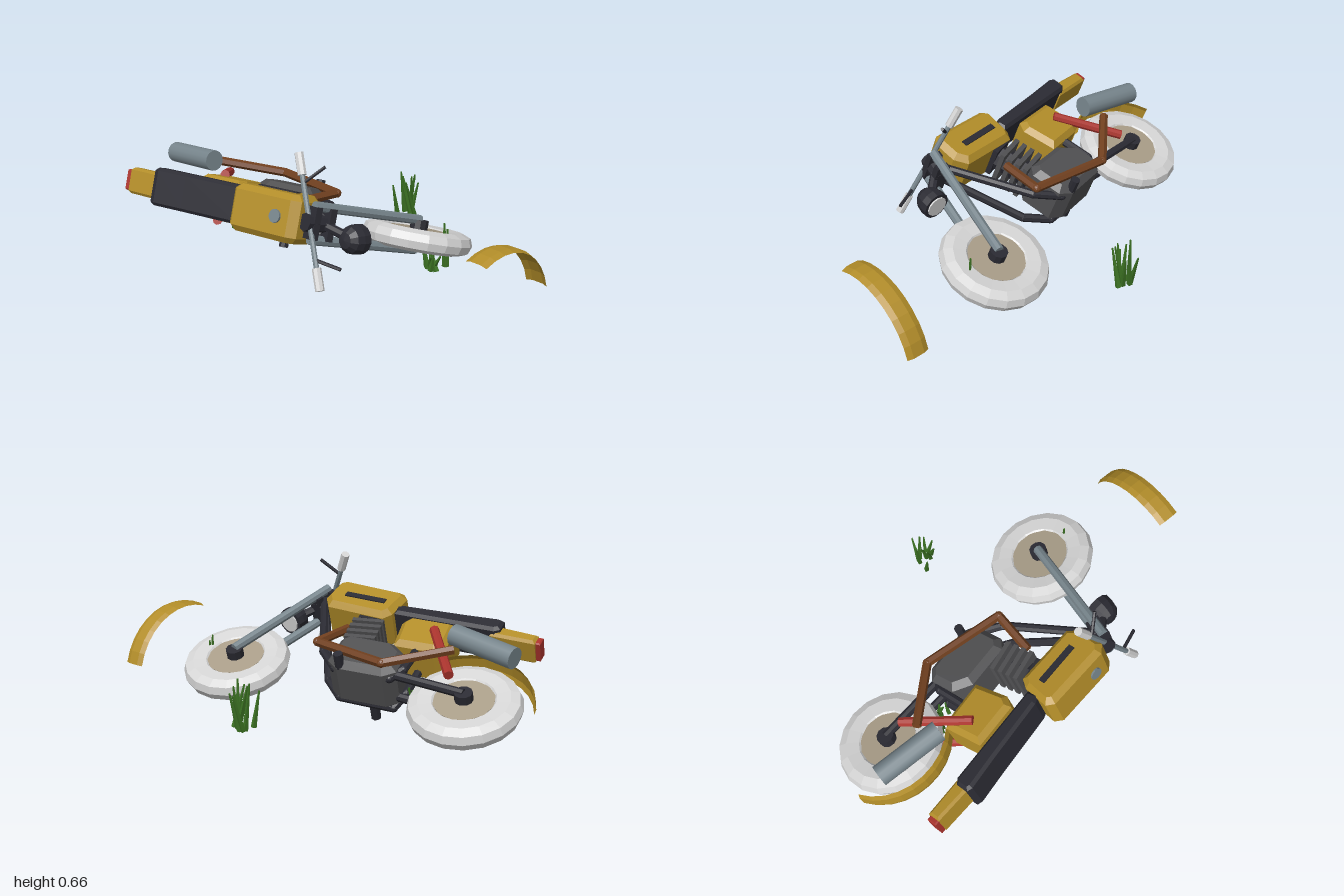
import * as THREE from 'three';

const mat = (name, color) => Object.assign(new THREE.MeshStandardMaterial({ color }), { name });
const V = (p) => new THREE.Vector3(...p);

export function createModel() {
  const yellow = mat('mustard paint', 0xb28d29), black = mat('black', 0x2b2b33), grey = mat('engine grey', 0x505052);
  const white = mat('pale tyre', 0xd4d4d4), tan = mat('wheel tan', 0xa99d88), steel = mat('steel', 0x77858c);
  const rust = mat('rust', 0x71401f), red = mat('red', 0xaa342d), green = mat('grass green', 0x3c7223);
  yellow.side = THREE.DoubleSide;

  const root = new THREE.Group();
  root.name = 'fallenMotorbike';

  // Bike frame: X forward, Y bike-up, Z bike-right, origin near the rear axle
  const f = V([0.946, 0.02, 0.324]).normalize();
  const s = new THREE.Vector3().crossVectors(f, V([-0.31, 0.34, 0.89])).normalize();
  const u = new THREE.Vector3().crossVectors(s, f);
  const bike = new THREE.Group();
  bike.name = 'bike';
  bike.quaternion.setFromRotationMatrix(new THREE.Matrix4().makeBasis(f, u, s));
  bike.position.set(-0.676, 0.16, -0.37);
  root.add(bike);

  const flat = (g) => {
    const r = g.index ? g.toNonIndexed() : g;
    r.computeVertexNormals();
    return r;
  };
  const add = (name, geo, material, parent = bike) => {
    const m = new THREE.Mesh(geo, material);
    m.name = name;
    parent.add(m);
    return m;
  };
  // Straight tube between two points
  const rod = (name, a, b, r, material, { parent = bike, sides = 8, r2 = r, smooth = false } = {}) => {
    const d = V(b).sub(V(a));
    const g = new THREE.CylinderGeometry(r2, r, d.length(), sides);
    const m = add(name, smooth ? g : flat(g), material, parent);
    m.position.copy(V(a)).addScaledVector(d, 0.5);
    m.quaternion.setFromUnitVectors(new THREE.Vector3(0, 1, 0), d.normalize());
    return m;
  };
  const path = (name, pts, r, material, sides = 8) => {
    for (let i = 1; i < pts.length; i++) rod(name, pts[i - 1], pts[i], r, material, { sides });
    pts.slice(1, -1).forEach((p) => add(name + 'Joint', flat(new THREE.IcosahedronGeometry(r * 1.02, 1)), material).position.set(...p));
  };
  // Side outline extruded across the bike with chamfered edges
  const slab = (name, pts, half, bevel, material) => {
    const g = new THREE.ExtrudeGeometry(new THREE.Shape(pts.map((p) => new THREE.Vector2(...p))), {
      depth: 2 * (half - bevel), bevelThickness: bevel, bevelSize: bevel, bevelOffset: -bevel, bevelSegments: 1,
    });
    return add(name, flat(g.translate(0, 0, bevel - half)), material);
  };
  // Crowned mudguard strip following an arc
  const fender = (name, a0, a1, R, half, parent) => {
    const cross = [[-half, -0.01], [-half * 0.5, 0], [half * 0.5, 0], [half, -0.01]];
    const pos = [], idx = [], n = 9;
    for (let i = 0; i <= n; i++) {
      const a = THREE.MathUtils.degToRad(a0 + ((a1 - a0) * i) / n);
      cross.forEach(([z, dr]) => pos.push(Math.cos(a) * (R + dr), Math.sin(a) * (R + dr), z));
    }
    for (let i = 0; i < n; i++) for (let j = 0; j < 3; j++) {
      const k = i * 4 + j;
      idx.push(k, k + 1, k + 4, k + 1, k + 5, k + 4);
    }
    const g = new THREE.BufferGeometry();
    g.setAttribute('position', new THREE.Float32BufferAttribute(pos, 3));
    g.setIndex(idx);
    return add(name, flat(g), yellow, parent);
  };

  // Wheels
  const profile = [[0.126, -0.03], [0.14, -0.044], [0.2, -0.05], [0.24, -0.034], [0.252, 0],
    [0.24, 0.034], [0.2, 0.05], [0.14, 0.044], [0.126, 0.03]].map((p) => new THREE.Vector2(...p));
  [['rear', 0.01, 0.028], ['front', 1.146, 0.018]].forEach(([n, x, y]) => {
    const z = 0.011;
    add(n + 'Tyre', flat(new THREE.LatheGeometry(profile, 18).rotateX(Math.PI / 2)), white).position.set(x, y, z);
    rod(n + 'Disc', [x, y, z - 0.038], [x, y, z + 0.038], 0.135, tan, { sides: 12 });
    rod(n + 'Hub', [x, y, -0.068], [x, y, 0.072], 0.041, black, { sides: 10 });
  });
  fender('rearFender', 50, 162, 0.3, 0.05, bike).position.set(0.008, 0.02, 0);

  // Tank, seat, tail and side panel
  slab('tank', [[0.535, 0.45], [0.565, 0.408], [0.86, 0.428], [0.9, 0.49], [0.89, 0.61], [0.85, 0.638], [0.545, 0.614], [0.515, 0.58]], 0.105, 0.026, yellow);
  rod('fuelCap', [0.785, 0.615, 0], [0.782, 0.642, 0], 0.03, steel, { sides: 12 });
  for (const z of [-1, 1]) {
    const strip = add('tankStrip', new THREE.BoxGeometry(0.21, 0.03, 0.009), black);
    strip.position.set(0.697, 0.51, z * 0.106);
    strip.rotation.z = 0.04;
  }
  slab('seat', [[0.015, 0.48], [0.04, 0.462], [0.53, 0.465], [0.54, 0.52], [0.5, 0.533], [0.2, 0.542], [0.04, 0.55], [0.015, 0.54]], 0.088, 0.014, black);
  slab('tail', [[-0.155, 0.449], [0.06, 0.455], [0.06, 0.528], [-0.155, 0.51]], 0.062, 0.012, yellow);
  slab('tailLight', [[-0.177, 0.458], [-0.145, 0.458], [-0.145, 0.508], [-0.177, 0.508]], 0.05, 0.006, red);
  slab('sidePanel', [[0.19, 0.26], [0.24, 0.24], [0.43, 0.235], [0.46, 0.4], [0.43, 0.45], [0.21, 0.45]], 0.1, 0.025, yellow);

  // Engine with finned cylinder
  slab('crankcase', [[0.33, 0.05], [0.38, 0.005], [0.6, 0], [0.66, 0.04], [0.67, 0.19], [0.63, 0.23], [0.42, 0.23], [0.34, 0.17]], 0.115, 0.03, grey);
  const barrel = new THREE.Group();
  barrel.name = 'cylinderBarrel';
  barrel.position.set(0.595, 0.2, 0);
  barrel.rotation.z = -0.14;
  bike.add(barrel);
  rod('cylinderCore', [0, 0, 0], [0, 0.24, 0], 0.06, black, { parent: barrel });
  for (let i = 0; i < 4; i++) add('coolingFin', new THREE.BoxGeometry(0.15, 0.022, 0.18), grey, barrel).position.y = 0.045 + i * 0.042;
  add('cylinderHead', new THREE.BoxGeometry(0.12, 0.045, 0.15), black, barrel).position.y = 0.225;
  rod('rightFootPeg', [0.46, 0.045, 0.08], [0.46, 0.045, 0.197], 0.023, black);
  rod('leftFootPeg', [0.59, 0.02, -0.08], [0.59, 0.02, -0.155], 0.022, black);

  // Frame tubes, swingarm, shocks and fork on both sides
  rod('backbone', [0.93, 0.52, 0], [0.12, 0.49, 0], 0.022, black);
  for (const z of [-1, 1]) {
    const low = z > 0 ? 0.11 : -0.055;
    path('cradle', [[0.94, 0.53, z * 0.03], [0.735, 0.13, low], [0.63, 0.035, low], [0.36, 0.035, low], [0.32, 0.1, z * 0.065], [0.33, 0.42, z * 0.05]], 0.02, black);
    rod('swingarm', [0.01, 0.028, z * 0.06], [0.36, 0.06, z * 0.06], 0.021, black);
    rod('shock', [0.09, 0.07, z * 0.108], [0.28, 0.36, z * 0.108], 0.022, red);
    rod('forkLeg', [1.146, 0.018, z * 0.068], [0.936, 0.58, z * 0.072], 0.022, steel);
  }

  // Exhaust on the upper side
  path('exhaustPipe', [[0.7, 0.32, -0.06], [0.75, 0.12, -0.115], [0.375, 0.012, -0.155], [0.11, 0.185, -0.157]], 0.021, rust, 6);
  rod('muffler', [0.15, 0.288, -0.157], [-0.16, 0.2, -0.157], 0.049, steel, { sides: 14, smooth: true });

  // Steering head
  rod('steeringHead', [0.96, 0.48, 0], [0.915, 0.605, 0], 0.04, black);
  for (const t of [0, 1]) {
    const clamp = add('forkClamp', new THREE.BoxGeometry(0.065, 0.032, 0.14), black);
    clamp.position.set(0.965 - t * 0.03, 0.5 + t * 0.07, 0);
    clamp.rotation.z = 0.35;
  }

  // Headlight knocked round, its domed back to the front
  const lamp = new THREE.Group();
  lamp.name = 'headlight';
  lamp.position.set(0.196, 0.292, 0.385);
  lamp.quaternion.setFromUnitVectors(new THREE.Vector3(0, 1, 0), V([0.5, -0.2, -0.84]).normalize());
  root.add(lamp);
  const bowl = [[0, -0.062], [0.035, -0.056], [0.058, -0.03], [0.066, 0.005], [0.066, 0.04], [0, 0.04]].map((p) => new THREE.Vector2(...p));
  add('headlightBowl', flat(new THREE.LatheGeometry(bowl, 12)), black, lamp);
  rod('headlightLens', [0, 0.039, 0], [0, 0.047, 0], 0.05, white, { parent: lamp, sides: 12 });
  rod('headlightBracket', [0.06, 0.36, 0.41], [0.18, 0.3, 0.39], 0.022, black, { parent: root });

  // Bent handlebar with grips and levers
  const bars = new THREE.Group();
  bars.name = 'handlebar';
  root.add(bars);
  const mid = V([0.02, 0.385, 0.455]), dir = V([-0.27, 0.86, -0.43]).normalize();
  const at = (t) => mid.clone().addScaledVector(dir, t).toArray();
  rod('bar', at(-0.28), at(0.28), 0.012, steel, { parent: bars });
  for (const k of [-1, 1]) rod('grip', at(k * 0.2), at(k * 0.297), 0.02, white, { parent: bars });
  rod('upperLever', at(0.165), [0.065, 0.6, 0.365], 0.008, black, { parent: bars, sides: 6 });
  rod('lowerLever', at(-0.165), [0.18, 0.22, 0.545], 0.008, black, { parent: bars, sides: 6 });

  // Detached front fender standing apart from the bike
  const loose = fender('looseFrontFender', 14, 112, 0.325, 0.054, root);
  loose.position.set(0.799, 0.008, 0.435);
  loose.rotation.y = 1.03;

  // Grass clumps: x, base y, z, spread, lean, height, blade count
  let seed = 7;
  const rnd = () => (seed = (seed * 16807) % 2147483647) / 2147483647 - 0.5;
  [[0.25, 0.07, -0.54, 0.09, 0.1, 0.18, 9], [0.49, 0.07, 0.105, 0.08, 0.09, 0.08, 8], [0.545, 0.08, 0.1, 0.03, 0.02, 0.17, 2],
    [-0.48, 0.06, -0.16, 0.1, 0.06, 0.12, 8], [-0.32, 0.07, -0.14, 0.03, 0.03, 0.07, 2]].forEach(([x, y, z, w, lean, h, n]) => {
    for (let i = 0; i < n; i++) {
      const bx = x + rnd() * w, bz = z + rnd() * w;
      rod('grassBlade', [bx, y, bz], [bx + rnd() * lean, y + h * (1 + rnd() * 0.4), bz + rnd() * lean], 0.013, green,
        { parent: root, sides: 4, r2: 0.004 });
    }
  });
  return root;
}
